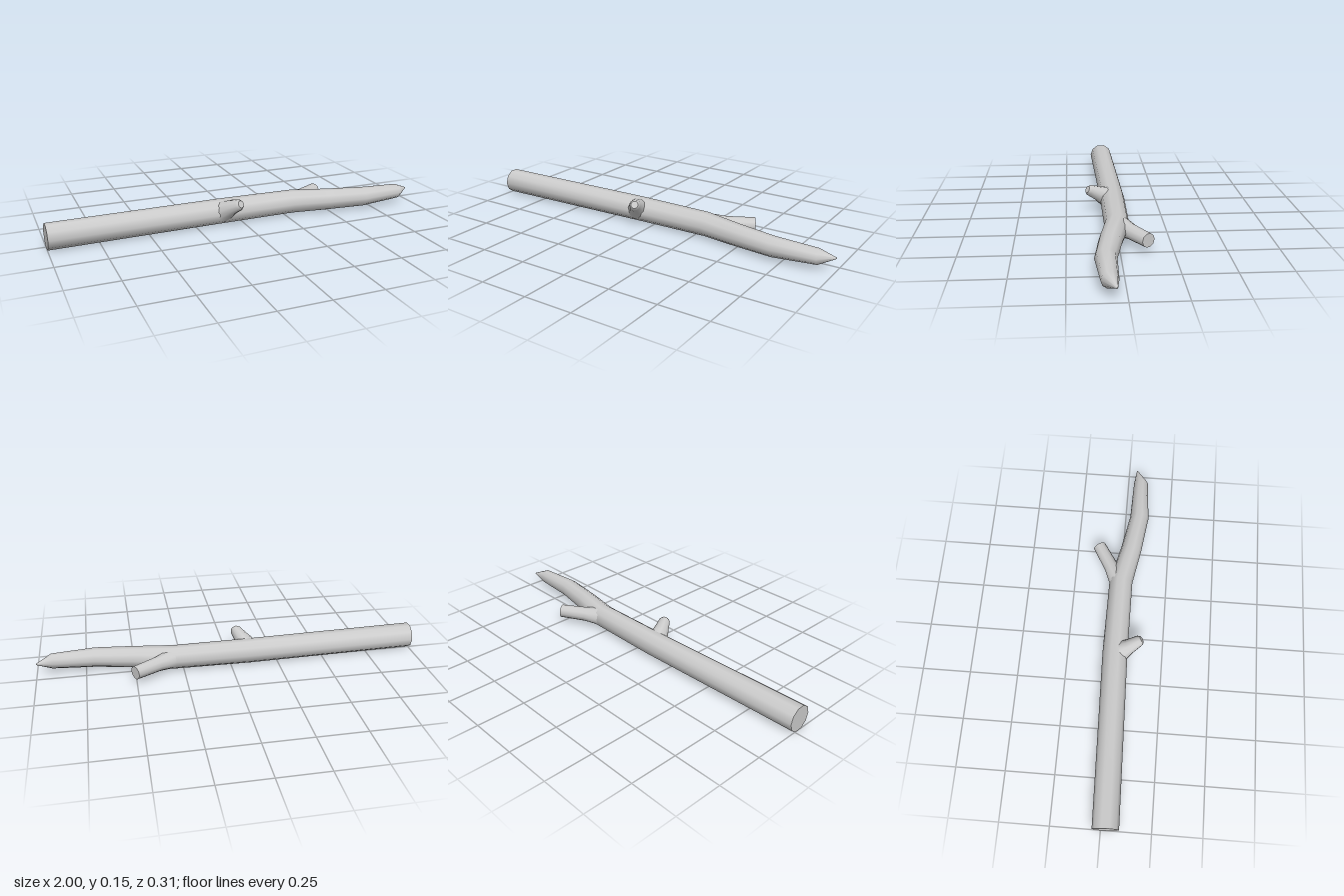
import * as THREE from 'three';

const SIDES = 10;
const material = new THREE.MeshStandardMaterial({ color: 0xcccccc });

// Loft round sections [x, y, z, radius] along a path, with flat end caps.
function loft(name, sections) {
  const positions = [], index = [];
  const centres = sections.map(([x, y, z]) => new THREE.Vector3(x, y, z));
  const last = sections.length - 1;
  const up = new THREE.Vector3(0, 1, 0);

  const ring = (i) => {
    const tangent = centres[Math.min(i + 1, last)].clone().sub(centres[Math.max(i - 1, 0)]).normalize();
    const side = new THREE.Vector3().crossVectors(tangent, up).normalize();
    const top = new THREE.Vector3().crossVectors(side, tangent);
    const start = positions.length / 3;
    for (let k = 0; k < SIDES; k++) {
      const a = (k / SIDES) * Math.PI * 2;
      const p = centres[i].clone()
        .addScaledVector(side, Math.cos(a) * sections[i][3])
        .addScaledVector(top, Math.sin(a) * sections[i][3]);
      positions.push(p.x, p.y, p.z);
    }
    return start;
  };

  // Side walls share vertices, so the bark is smooth
  const rings = sections.map((_, i) => ring(i));
  for (let i = 0; i < last; i++) {
    for (let k = 0; k < SIDES; k++) {
      const n = (k + 1) % SIDES;
      const a = rings[i] + k, b = rings[i] + n, c = rings[i + 1] + k, d = rings[i + 1] + n;
      index.push(a, c, b, b, c, d);
    }
  }
  // Caps have their own vertices, so the cut edge stays sharp
  for (const i of [0, last]) {
    const s = ring(i);
    for (let k = 1; k < SIDES - 1; k++) {
      if (i === 0) index.push(s, s + k + 1, s + k);
      else index.push(s, s + k, s + k + 1);
    }
  }

  const geometry = new THREE.BufferGeometry();
  geometry.setAttribute('position', new THREE.Float32BufferAttribute(positions, 3));
  // Sides run clockwise about the path, so flip every triangle outward
  for (let i = 0; i < index.length; i += 3) {
    const [a, b, c] = [0, 1, 2].map((j) => new THREE.Vector3().fromArray(positions, index[i + j] * 3));
    const normal = b.clone().sub(a).cross(c.clone().sub(a));
    const mid = a.clone().add(b).add(c).divideScalar(3);
    const line = new THREE.Line3();
    let best = Infinity;
    const inner = new THREE.Vector3();
    for (let j = 0; j < last; j++) {
      line.set(centres[j].clone().lerp(centres[j + 1], 0.1), centres[j + 1].clone().lerp(centres[j], 0.1));
      const q = line.closestPointToPoint(mid, true, new THREE.Vector3());
      if (q.distanceTo(mid) < best) { best = q.distanceTo(mid); inner.copy(q); }
    }
    if (normal.dot(mid.sub(inner)) < 0) [index[i + 1], index[i + 2]] = [index[i + 2], index[i + 1]];
  }
  geometry.setIndex(index);
  geometry.computeVertexNormals();
  const mesh = new THREE.Mesh(geometry, material);
  mesh.name = name;
  return mesh;
}

export function createModel() {
  const group = new THREE.Group();
  group.name = 'branch';

  // Main stem, bending near the far end and closing in a point
  group.add(loft('mainStem', [
    [-1, 0.066, 0.025, 0.066],
    [-0.1, 0.065, 0.002, 0.065],
    [0.3, 0.065, 0.003, 0.062],
    [0.5, 0.065, 0.045, 0.056],
    [0.7, 0.065, 0.077, 0.051],
    [0.92, 0.067, 0.071, 0.039],
    [0.998, 0.068, 0.046, 0.003],
  ]));

  // Cut side twig, flaring where it leaves the stem
  group.add(loft('sideTwig', [
    [0.29, 0.065, 0.0, 0.055],
    [0.385, 0.065, -0.056, 0.039],
    [0.506, 0.065, -0.13, 0.035],
  ]));

  // Short stub with a blunt end
  group.add(loft('stub', [
    [-0.1, 0.072, 0.025, 0.058],
    [-0.077, 0.104, 0.075, 0.04],
    [-0.052, 0.131, 0.125, 0.029],
    [-0.047, 0.137, 0.136, 0.019],
  ]));

  return group;
}
